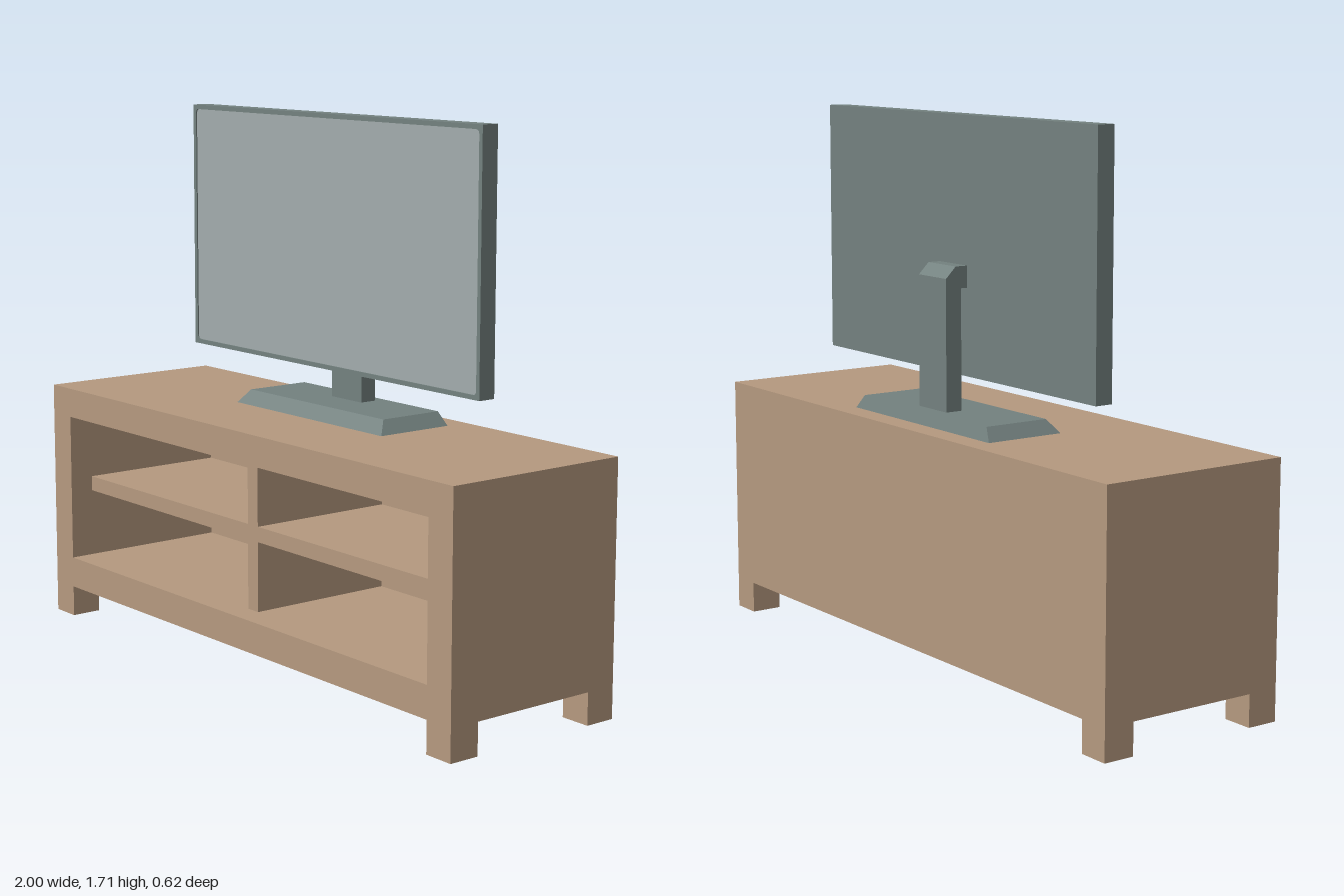
import * as THREE from 'three';

function material(name, color) {
  const m = new THREE.MeshStandardMaterial({ color });
  m.name = name;
  return m;
}

function rectPath(path, x0, y0, x1, y1) {
  path.moveTo(x0, y0);
  path.lineTo(x1, y0);
  path.lineTo(x1, y1);
  path.lineTo(x0, y1);
  path.closePath();
  return path;
}

function roundedPath(path, x0, y0, x1, y1, r) {
  path.moveTo(x0 + r, y0);
  path.lineTo(x1 - r, y0);
  path.quadraticCurveTo(x1, y0, x1, y0 + r);
  path.lineTo(x1, y1 - r);
  path.quadraticCurveTo(x1, y1, x1 - r, y1);
  path.lineTo(x0 + r, y1);
  path.quadraticCurveTo(x0, y1, x0, y1 - r);
  path.lineTo(x0, y0 + r);
  path.quadraticCurveTo(x0, y0, x0 + r, y0);
  return path;
}

export function createModel() {
  const wood = material('wood', 0xb69a80);
  const casing = material('casing', 0x748280);
  const glass = material('screen glass', 0xa4adae);

  const model = new THREE.Group();
  model.name = 'televisionOnCabinet';
  const cabinet = new THREE.Group();
  cabinet.name = 'cabinet';
  const television = new THREE.Group();
  television.name = 'television';
  model.add(cabinet, television);

  const add = (parent, name, geometry, mat) => {
    const mesh = new THREE.Mesh(geometry, mat);
    mesh.name = name;
    parent.add(mesh);
    return mesh;
  };
  // Box given by its lower and upper corners
  const box = (parent, name, mat, a, b) => {
    const mesh = add(parent, name, new THREE.BoxGeometry(b[0] - a[0], b[1] - a[1], b[2] - a[2]), mat);
    mesh.position.set((a[0] + b[0]) / 2, (a[1] + b[1]) / 2, (a[2] + b[2]) / 2);
    return mesh;
  };
  const extrude = (shape, depth) =>
    new THREE.ExtrudeGeometry(shape, { depth, bevelEnabled: false, curveSegments: 4 });

  // Cabinet body with its front opening
  const D = 0.3125, backZ = -0.26;
  const body = rectPath(new THREE.Shape(), -1, 0.1, 1, 0.775);
  body.holes.push(rectPath(new THREE.Path(), -0.9, 0.2, 0.9, 0.68));
  add(cabinet, 'cabinetBody', extrude(body, D - backZ), wood).position.z = backZ;
  box(cabinet, 'backPanel', wood, [-1, 0.1, -D], [1, 0.775, backZ]);

  // Recessed divider and shelves
  const innerFront = D - 0.08;
  box(cabinet, 'divider', wood, [-0.025, 0.2, backZ], [0.025, 0.68, innerFront]);
  for (const s of [-1, 1]) {
    const x0 = s < 0 ? -0.9 : 0.025;
    box(cabinet, s < 0 ? 'rightShelf' : 'leftShelf', wood,
      [x0, 0.42, backZ], [x0 + 0.875, 0.468, innerFront]);
  }

  // Feet
  for (const sx of [-1, 1]) for (const sz of [-1, 1]) {
    const foot = box(cabinet, (sz > 0 ? 'front' : 'back') + (sx > 0 ? 'Left' : 'Right') + 'Foot',
      wood, [-0.05, 0, -0.05], [0.05, 0.1, 0.05]);
    foot.position.x = sx * 0.95;
    foot.position.z = sz * (D - 0.05);
  }

  // Stand base: a box with its top edges drawn in
  const base = new THREE.BoxGeometry(0.716, 0.042, 0.262);
  const p = base.attributes.position;
  for (let i = 0; i < p.count; i++) {
    if (p.getY(i) > 0) {
      p.setX(i, Math.sign(p.getX(i)) * 0.328);
      p.setZ(i, p.getZ(i) > 0 ? 0.098 : -0.118);
    }
  }
  base.computeVertexNormals();
  add(television, 'standBase', base, casing).position.set(0, 0.796, -0.107);

  // Neck: side profile (z, y) swept across x
  const neck = new THREE.Shape([
    [-0.19, 0.815], [-0.135, 0.815], [-0.135, 1.19], [-0.112, 1.19],
    [-0.112, 1.257], [-0.155, 1.257], [-0.19, 1.222],
  ].map(([z, y]) => new THREE.Vector2(z, y)));
  const neckGeometry = extrude(neck, 0.144);
  neckGeometry.rotateY(-Math.PI / 2);
  add(television, 'standNeck', neckGeometry, casing).position.x = 0.072;

  // Casing, bezel and slightly sunken screen
  const screenZ = -0.061;
  box(television, 'casingBack', casing, [-0.697, 0.92, -0.113], [0.697, 1.706, screenZ]);
  const bezel = rectPath(new THREE.Shape(), -0.697, 0.92, 0.697, 1.706);
  bezel.holes.push(roundedPath(new THREE.Path(), -0.683, 0.934, 0.683, 1.692, 0.015));
  add(television, 'bezel', extrude(bezel, 0.006), casing).position.z = screenZ;
  const screen = roundedPath(new THREE.Shape(), -0.683, 0.934, 0.683, 1.692, 0.015);
  add(television, 'screen', new THREE.ShapeGeometry(screen, 4), glass).position.z = screenZ + 0.002;

  return model;
}
